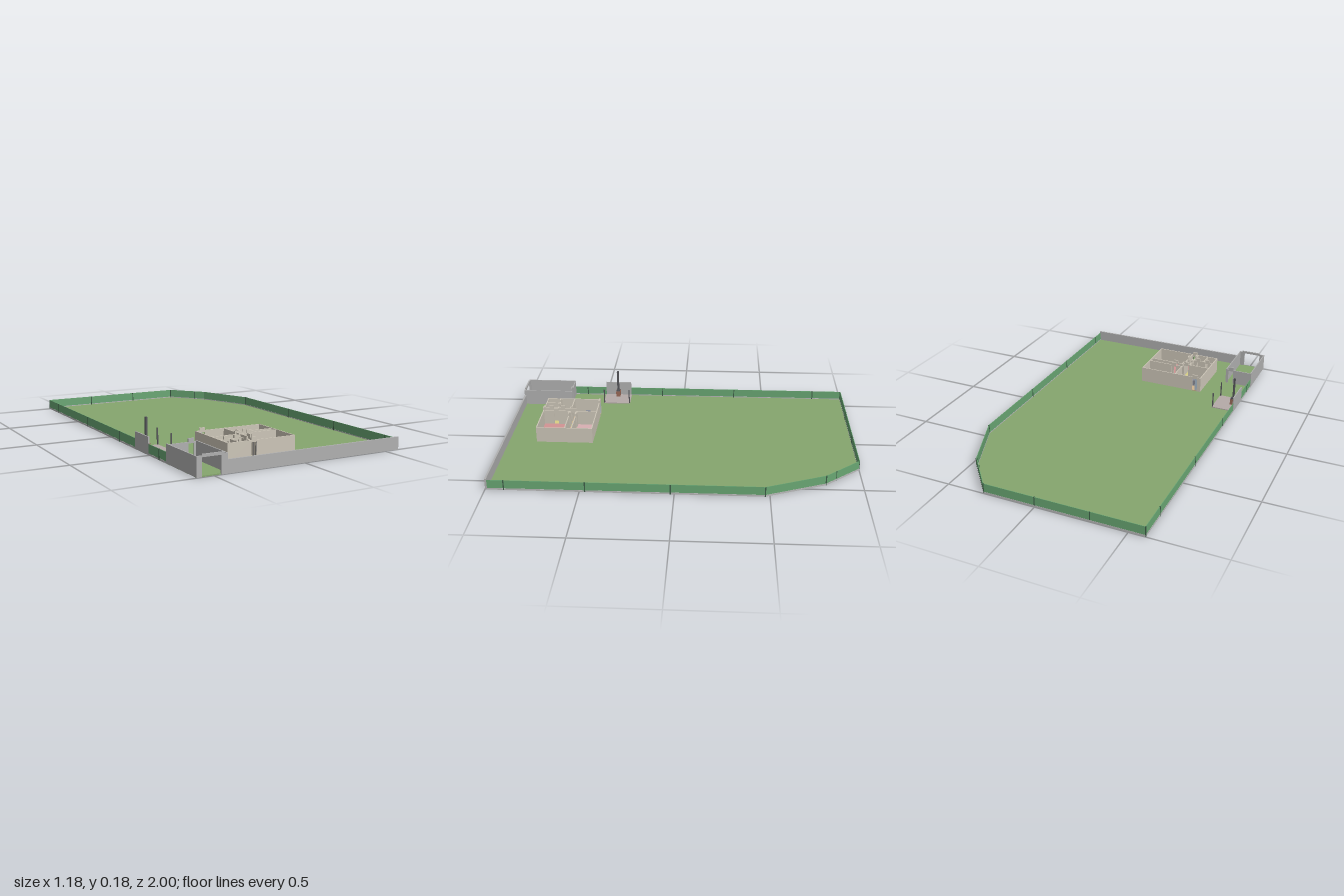
import * as THREE from 'three';

const mat = (color) => new THREE.MeshStandardMaterial({ color });
const M = {
  grass: mat(0x86a66e), hedge: mat(0x69a673), post: mat(0x3f5f48), grey: mat(0xb0b0b0),
  curb: mat(0xb8b8b8), house: mat(0xcdc6b8), patio: mat(0xb5aaa8), dark: mat(0x55555a),
  brick: mat(0x9a6a58), island: mat(0x8a8d98), door: mat(0xa9bccb),
};
const GROUND = 0.006;

// box given by its limits on each axis
function box(parent, name, material, x0, x1, y0, y1, z0, z1) {
  const m = new THREE.Mesh(new THREE.BoxGeometry(x1 - x0, y1 - y0, z1 - z0), material);
  m.position.set((x0 + x1) / 2, (y0 + y1) / 2, (z0 + z1) / 2);
  m.name = name;
  parent.add(m);
  return m;
}

// straight wall along 'x' or 'z' from a to b at position c, with door openings [from, to]
function wall(parent, name, material, axis, c, a, b, h, doors = [], t = 0.006) {
  const part = (n, p, q, y0, y1, w) => axis === 'x'
    ? box(parent, n, material, p, q, y0, y1, c - w / 2, c + w / 2)
    : box(parent, n, material, c - w / 2, c + w / 2, y0, y1, p, q);
  let from = a;
  for (const [p, q] of doors) {
    if (p > from) part(name, from, p, 0.002, h, t);
    part(name + 'Lintel', p, q, 0.088, 0.113, t + 0.001);
    from = q;
  }
  if (b > from) part(name, from, b, 0.002, h, t);
}

// thin upright panel between two plan points
function panel(parent, name, material, [xa, za], [xb, zb], y0, y1, t) {
  const m = new THREE.Mesh(new THREE.BoxGeometry(Math.hypot(xb - xa, zb - za), y1 - y0, t), material);
  m.position.set((xa + xb) / 2, (y0 + y1) / 2, (za + zb) / 2);
  m.rotation.y = -Math.atan2(zb - za, xb - xa);
  m.name = name;
  parent.add(m);
}

function group(parent, name) {
  const g = new THREE.Group();
  g.name = name;
  parent.add(g);
  return g;
}

export function createModel() {
  const model = new THREE.Group();
  model.name = 'plotWithHouse';

  // lawn with two cut corners
  const plan = [[-0.587, 0.995], [-0.587, -0.998], [0.29, -0.998], [0.455, -0.802], [0.584, -0.475], [0.584, 0.995]];
  const shape = new THREE.Shape(plan.map(([x, z]) => new THREE.Vector2(x, -z)));
  const lawnGeo = new THREE.ExtrudeGeometry(shape, { depth: GROUND, bevelEnabled: false });
  lawnGeo.rotateX(-Math.PI / 2);
  const lawn = new THREE.Mesh(lawnGeo, M.grass);
  lawn.name = 'lawn';
  model.add(lawn);

  // green fence on a low curb
  const fence = group(model, 'fence');
  const line = [[-0.587, 0.7], ...plan.slice(1)];
  for (let i = 0; i < line.length - 1; i++) {
    panel(fence, 'fenceCurb', M.curb, line[i], line[i + 1], 0.001, 0.011, 0.005);
    panel(fence, 'fencePanel', M.hedge, line[i], line[i + 1], 0.011, 0.058, 0.003);
  }
  const posts = [
    ...[0.62, 0.14, -0.32, -0.82].map((z) => [-0.587, z]),
    ...[0.9, 0.47, 0.02, -0.475].map((z) => [0.584, z]),
    [-0.587, -0.997], [-0.3, -0.997], [0.0, -0.997], [0.29, -0.997], [0.405, -0.86], [0.455, -0.802],
  ];
  for (const [x, z] of posts) box(fence, 'fencePost', M.post, x - 0.003, x + 0.003, 0.001, 0.058, z - 0.003, z + 0.003);

  // front boundary wall
  box(model, 'frontWall', M.grey, -0.427, 0.587, 0, 0.067, 0.988, 0.998);

  // roofless carport with gateway and rear door
  const carport = group(model, 'carport');
  wall(carport, 'carportSideWall', M.grey, 'z', -0.587, 0.7, 0.997, 0.099);
  wall(carport, 'carportSideWall', M.grey, 'z', -0.43, 0.7, 0.997, 0.099);
  wall(carport, 'carportRearWall', M.grey, 'x', 0.701, -0.59, -0.427, 0.095, [[-0.474, -0.443]]);
  box(carport, 'gatePier', M.grey, -0.59, -0.56, 0, 0.099, 0.99, 0.998);
  box(carport, 'gatePier', M.grey, -0.46, -0.427, 0, 0.099, 0.99, 0.998);
  box(carport, 'gateBeam', M.grey, -0.56, -0.445, 0.092, 0.106, 0.99, 0.998);

  // patio with screen wall, corner posts and fireplace
  const patio = group(model, 'patio');
  box(patio, 'patioFloor', M.patio, -0.587, -0.458, 0.001, 0.011, 0.337, 0.502);
  box(patio, 'patioScreenWall', M.grey, -0.59, -0.584, 0.002, 0.095, 0.34, 0.5);
  for (const z of [0.341, 0.498]) box(patio, 'patioPost', M.dark, -0.465, -0.459, 0.011, 0.1, z - 0.003, z + 0.003);
  box(patio, 'fireplace', M.brick, -0.583, -0.547, 0.011, 0.045, 0.408, 0.434);
  box(patio, 'fireplaceHood', M.dark, -0.578, -0.55, 0.045, 0.055, 0.411, 0.431);
  box(patio, 'chimney', M.dark, -0.569, -0.559, 0.055, 0.18, 0.415, 0.427);

  // roofless house: coloured room floors
  const house = group(model, 'house');
  const floors = [
    ['livingFloor', 0xd2b48c, -0.325, -0.16, 0.502, 0.66],
    ['pinkRoomFloor', 0xd8b0b3, -0.158, 0.06, 0.502, 0.622],
    ['hallFloor', 0xd8d083, -0.158, 0.06, 0.622, 0.66],
    ['redRoomFloor', 0xd29494, -0.158, 0.06, 0.66, 0.825],
    ['greenRoomFloor', 0x98cb98, -0.325, -0.197, 0.66, 0.742],
    ['blueRoomFloor', 0x83b0d4, -0.325, -0.263, 0.742, 0.825],
    ['purpleRoomFloor', 0xbd9fca, -0.263, -0.197, 0.742, 0.825],
    ['corridorFloor', 0xd8d083, -0.197, -0.158, 0.66, 0.825],
  ];
  for (const [name, color, x0, x1, z0, z1] of floors) box(house, name, mat(color), x0, x1, 0.001, 0.011, z0, z1);

  // outer walls
  wall(house, 'houseRearWall', M.house, 'x', 0.504, -0.327, 0.063, 0.098, [[-0.305, -0.273]]);
  wall(house, 'houseFrontWall', M.house, 'x', 0.824, -0.327, 0.063, 0.098, [[-0.193, -0.163]]);
  wall(house, 'houseSideWall', M.house, 'z', -0.324, 0.502, 0.826, 0.098);
  wall(house, 'houseSideWall', M.house, 'z', 0.06, 0.502, 0.826, 0.098);

  // inner walls
  wall(house, 'innerWall', M.house, 'x', 0.662, -0.324, 0.06, 0.097, [[-0.19, -0.162], [-0.12, -0.092]]);
  wall(house, 'innerWall', M.house, 'x', 0.622, -0.158, 0.06, 0.097, [[-0.12, -0.092]]);
  wall(house, 'innerWall', M.house, 'x', 0.742, -0.324, -0.197, 0.097, [[-0.3, -0.275], [-0.24, -0.215]]);
  wall(house, 'innerWall', M.house, 'z', -0.158, 0.502, 0.824, 0.097, [[0.625, 0.658], [0.735, 0.762]]);
  wall(house, 'innerWall', M.house, 'z', -0.197, 0.662, 0.824, 0.097, [[0.7, 0.725], [0.77, 0.795]]);
  wall(house, 'innerWall', M.house, 'z', -0.263, 0.742, 0.824, 0.097);

  // doors and kitchen island
  box(house, 'rearDoor', M.door, -0.305, -0.29, 0.011, 0.088, 0.503, 0.505);
  for (const x of [-0.192, -0.178, -0.165]) box(house, 'frontDoorBar', M.dark, x - 0.001, x + 0.001, 0.011, 0.088, 0.823, 0.825);
  box(house, 'kitchenIsland', M.island, -0.28, -0.215, 0.011, 0.045, 0.561, 0.588);

  return model;
}
